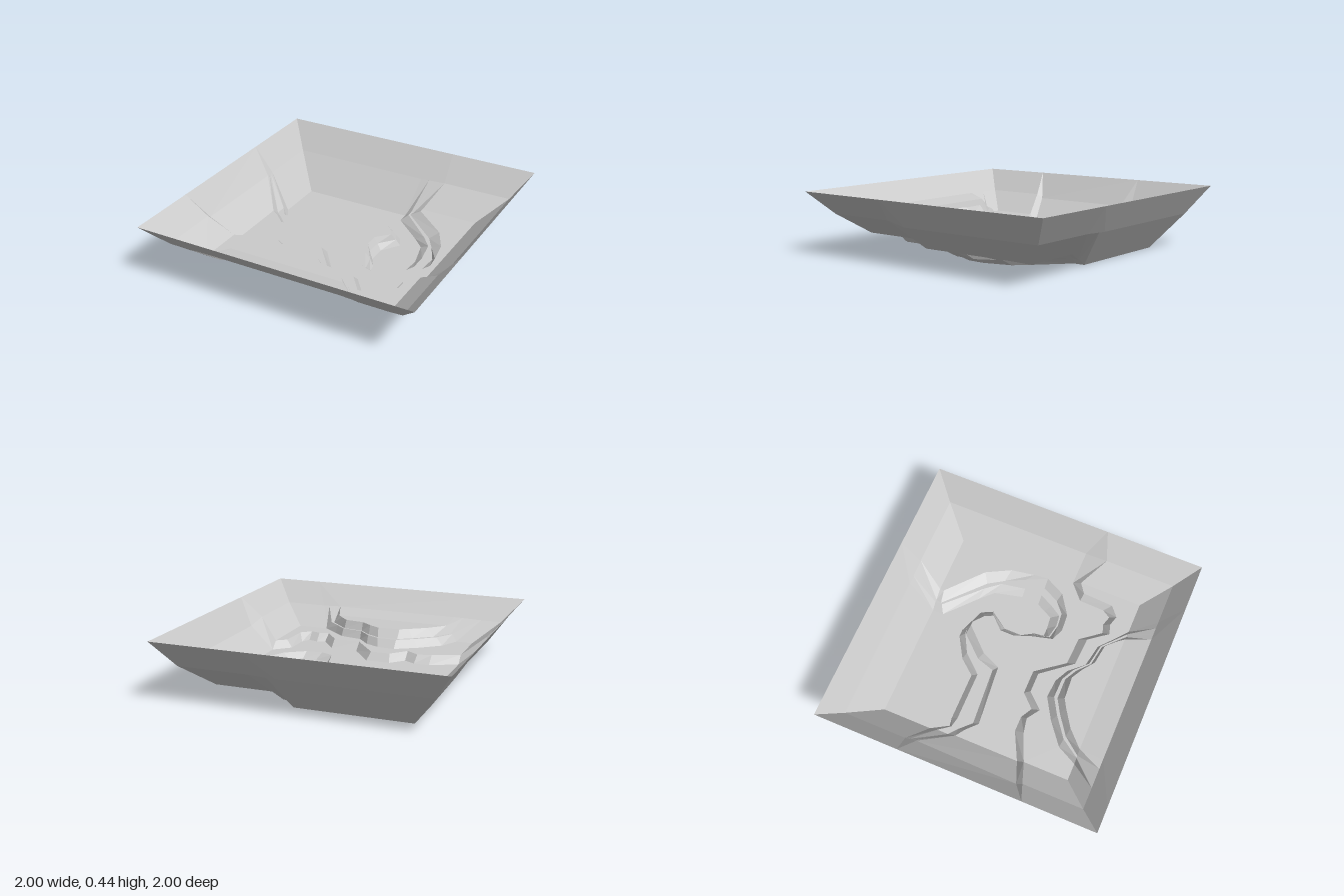
import * as THREE from 'three';

const material = new THREE.MeshStandardMaterial({ color: 0xcccccc, flatShading: true, side: THREE.DoubleSide });

// A polyline of [x, z] pairs laid at one height
const line = (y, pts) => pts.map(([x, z]) => new THREE.Vector3(x, y, z));
const mix = (a, b, t) => a.map((p, i) => p.clone().lerp(b[i], t));

// Faceted mesh from triangles, all turned to face up
function surface(name, triangles) {
  const out = [];
  const e = new THREE.Vector3(), f = new THREE.Vector3();
  for (const [a, b, c] of triangles) {
    e.subVectors(b, a);
    f.subVectors(c, a);
    e.cross(f);
    if (e.lengthSq() < 1e-14) continue;
    for (const p of e.y < 0 ? [a, c, b] : [a, b, c]) out.push(p.x, p.y, p.z);
  }
  const g = new THREE.BufferGeometry();
  g.setAttribute('position', new THREE.Float32BufferAttribute(out, 3));
  g.computeVertexNormals();
  const mesh = new THREE.Mesh(g, material);
  mesh.name = name;
  return mesh;
}

// Strips joining neighbouring polylines
function bands(name, lines) {
  const tris = [];
  for (let k = 0; k < lines.length - 1; k++) {
    const a = lines[k], b = lines[k + 1];
    for (let i = 0; i < a.length - 1; i++) {
      tris.push([a[i], b[i], a[i + 1]], [a[i + 1], b[i], b[i + 1]]);
    }
  }
  return surface(name, tris);
}

// Level ground inside an outline
function terrace(name, outline) {
  const flat = outline.map((p) => new THREE.Vector2(p.x, p.z));
  const faces = THREE.ShapeUtils.triangulateShape(flat, []);
  return surface(name, faces.map((t) => t.map((i) => outline[i])));
}

export function createModel() {
  const group = new THREE.Group();
  group.name = 'terracedBasin';
  const v = (x, y, z) => new THREE.Vector3(x, y, z);
  const W = 0.69, RIM = 0.435;

  // Winding bank around the lowest ground: foot, ledge edges, top
  const bankFoot = line(0, [[-W, -.34], [-.62, -.22], [-.56, -.23], [-.22, -.23], [-.13, -.34], [.02, -.43], [.07, -.43],
    [.25, -.36], [.29, -.28], [.2, -.15], [.2, -.02], [.25, .06], [.26, .13], [.32, .13], [.41, .12], [.44, .06],
    [.47, 0], [.48, -.13], [.43, -.33], [.34, -.42], [.13, -.61], [.13, -W]]);
  const ledgeOuter = line(.045, [[-W, -.28], [-.63, -.2], [-.56, -.185], [-.21, -.185], [-.09, -.32], [.04, -.39], [.09, -.4],
    [.23, -.33], [.26, -.27], [.17, -.16], [.17, -.04], [.22, .05], [.25, .17], [.35, .19], [.43, .18], [.48, .1],
    [.53, 0], [.53, -.13], [.5, -.3], [.42, -.4], [.18, -.64], [.18, -W]]);
  const ledgeInner = line(.045, [[-W, -.2], [-.63, -.15], [-.55, -.07], [-.14, -.1], [-.1, -.23], [.04, -.385], [.09, -.4],
    [.23, -.33], [.26, -.27], [.17, -.16], [.17, -.04], [.22, .05], [.25, .18], [.35, .2], [.45, .19], [.53, .12],
    [.59, 0], [.6, -.15], [.53, -.29], [.46, -.4], [.19, -.65], [.2, -W]]);
  const bankTop = line(.09, [[-W, -.14], [-.63, -.1], [-.55, -.025], [-.12, -.065], [-.06, -.2], [.1, -.37], [.13, -.37],
    [.2, -.31], [.23, -.25], [.145, -.16], [.145, -.06], [.19, .06], [.23, .21], [.32, .245], [.44, .235], [.58, .14],
    [.65, 0], [.64, -.1], [.61, -.27], [.52, -.44], [.27, -.66], [.27, -W]]);

  // Single step crossing the basin
  const stepFoot = line(.09, [[-W, .32], [-.5, .225], [-.39, .225], [-.31, .27], [-.22, .175], [-.05, .175], [.1, .37],
    [.3, .38], [.41, .52], [.47, .5], [.54, .52], [.575, .46], [.58, .28], [W, .18]]);
  const stepTop = line(.145, [[-W, .37], [-.5, .29], [-.4, .27], [-.31, .33], [-.21, .22], [-.07, .22], [.1, .43],
    [.3, .44], [.4, .57], [.47, .55], [.54, .57], [.61, .51], [.62, .29], [W, .24]]);

  // Double slope up to the front plateau
  const plateauFoot = line(.145, [[-.57, W], [-.5, .55], [-.35, .43], [-.2, .34], [-.07, .35], [.03, .4], [.12, .5],
    [.28, .53], [.36, .6], [.47, W]]);
  const plateauTop = line(.26, [[-.49, W], [-.38, .58], [-.26, .5], [-.2, .465], [-.04, .455], [.04, .5], [.12, .56],
    [.26, .58], [.32, .64], [.36, W]]);
  const atLedge = (t) => mix(plateauFoot, plateauTop, t).map((p) => p.setY(.2));
  const slope = [plateauFoot, atLedge(.4), atLedge(.6), plateauTop];

  group.add(
    bands('windingBank', [bankFoot, ledgeOuter, ledgeInner, bankTop]),
    bands('middleStep', [stepFoot, stepTop]),
    bands('plateauSlope', slope),
    terrace('lowestGround', [...bankFoot, v(-W, 0, -W)]),
    terrace('middleGround', [...bankTop, v(W, .09, -W), ...[...stepFoot].reverse()]),
    terrace('upperGround', [...stepTop, v(W, .145, W), ...[...plateauFoot].reverse(), v(-W, .145, W)]),
    terrace('frontPlateau', plateauTop),
  );

  // Outer walls: rows from ground to knee to rim, walked around the basin
  const ground = [], knee = [], rim = [];
  const crease = (feet, k0, k1, x, z) => feet.forEach((p, i) => {
    ground.push(p);
    knee.push(k0.clone().lerp(k1, i / Math.max(1, feet.length - 1)));
    rim.push(v(x, RIM, z));
  });
  const corner = (sx, sz, y, k, ky) => crease([v(sx * W, y, sz * W)], v(sx * k, ky, sz * k), v(sx * k, ky, sz * k), sx, sz);
  const first = (lines) => lines.map((l) => l[0]);
  const last = (lines) => lines.map((l) => l[l.length - 1]).reverse();
  const bank = [bankFoot, ledgeOuter, ledgeInner, bankTop];
  const step = [stepFoot, stepTop];

  corner(-1, -1, 0, .87, .24);
  crease(first(bank), v(-.87, .24, -.42), v(-.86, .25, -.34), -1, -.4);
  crease(first(step), v(-.87, .25, .39), v(-.86, .28, .43), -1, .48);
  corner(-1, 1, .145, .86, .28);
  crease(first(slope), v(-.71, .28, .86), v(-.5, .285, .86), -.82, 1);
  crease(last(slope), v(.42, .285, .86), v(.56, .28, .86), .66, 1);
  corner(1, 1, .145, .86, .28);
  crease(last(step), v(.86, .28, .36), v(.87, .25, .2), 1, .3);
  corner(1, -1, .09, .87, .25);
  crease(last(bank), v(.36, .25, -.87), v(.17, .24, -.87), .36, -1);
  corner(-1, -1, 0, .87, .24);
  group.add(bands('outerWalls', [ground, knee, rim]));

  return group;
}
